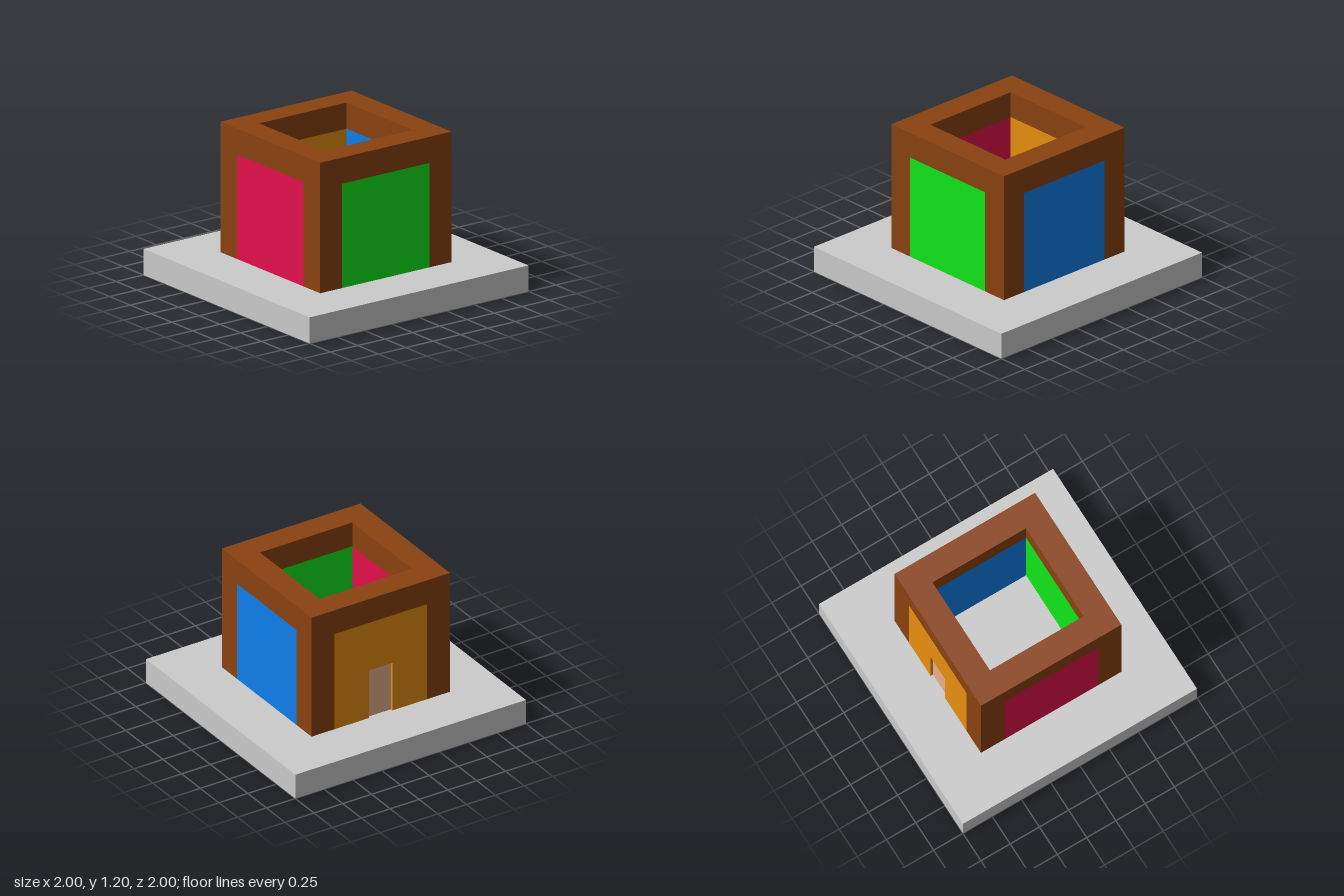
import * as THREE from 'three';

const FLOOR = 0.2, WALL = 0.2, INNER = 0.4, OUTER = 0.6, PANEL_H = 0.8;

export function createModel() {
  const model = new THREE.Group();
  model.name = 'openHouse';

  const mat = (color) => new THREE.MeshStandardMaterial({ color });
  const brown = mat(0x8b4211);

  function add(name, geometry, material, x, y, z) {
    const mesh = new THREE.Mesh(geometry, material);
    mesh.name = name;
    mesh.position.set(x, y, z);
    model.add(mesh);
    return mesh;
  }

  // Base slab
  add('base', new THREE.BoxGeometry(2, FLOOR, 2), mat(0xcccccc), 0, FLOOR / 2, 0);

  // Corner posts
  const mid = (INNER + OUTER) / 2;
  for (const sx of [-1, 1]) for (const sz of [-1, 1]) {
    add('cornerPost', new THREE.BoxGeometry(WALL, PANEL_H, WALL), brown,
      sx * mid, FLOOR + PANEL_H / 2, sz * mid);
  }

  // Square rim around the open top
  const square = (r) => [[-r, -r], [r, -r], [r, r], [-r, r]].map(([x, y]) => new THREE.Vector2(x, y));
  const ring = new THREE.Shape(square(OUTER));
  ring.holes.push(new THREE.Path(square(INNER)));
  const rim = new THREE.ExtrudeGeometry(ring, { depth: WALL, bevelEnabled: false });
  rim.rotateX(-Math.PI / 2);
  add('topRim', rim, brown, 0, FLOOR + PANEL_H, 0);

  // Plain coloured wall panels, flush with the posts
  const panels = [
    ['frontPanel', 0x11e819, 0, 1],
    ['leftPanel', 0x0e7feb, 1, 0],
    ['rightPanel', 0xe4104b, -1, 0],
  ];
  for (const [name, color, dx, dz] of panels) {
    const size = dx ? [WALL, PANEL_H, 2 * INNER] : [2 * INNER, PANEL_H, WALL];
    add(name, new THREE.BoxGeometry(...size), mat(color), dx * mid, FLOOR + PANEL_H / 2, dz * mid);
  }

  // Back panel with a doorway cut out of its lower edge
  const doorW = 0.2, doorH = 0.4, recess = 0.02;
  const outline = [
    [-INNER, 0], [-doorW / 2, 0], [-doorW / 2, doorH], [doorW / 2, doorH],
    [doorW / 2, 0], [INNER, 0], [INNER, PANEL_H], [-INNER, PANEL_H],
  ].map(([x, y]) => new THREE.Vector2(x, y));
  add('backPanel',
    new THREE.ExtrudeGeometry(new THREE.Shape(outline), { depth: WALL, bevelEnabled: false }),
    mat(0xe8900f), 0, FLOOR, -OUTER);

  // Door, slightly recessed in the doorway
  add('door', new THREE.BoxGeometry(doorW, doorH, WALL - 2 * recess), mat(0xebb090),
    0, FLOOR + doorH / 2, -mid);

  return model;
}
